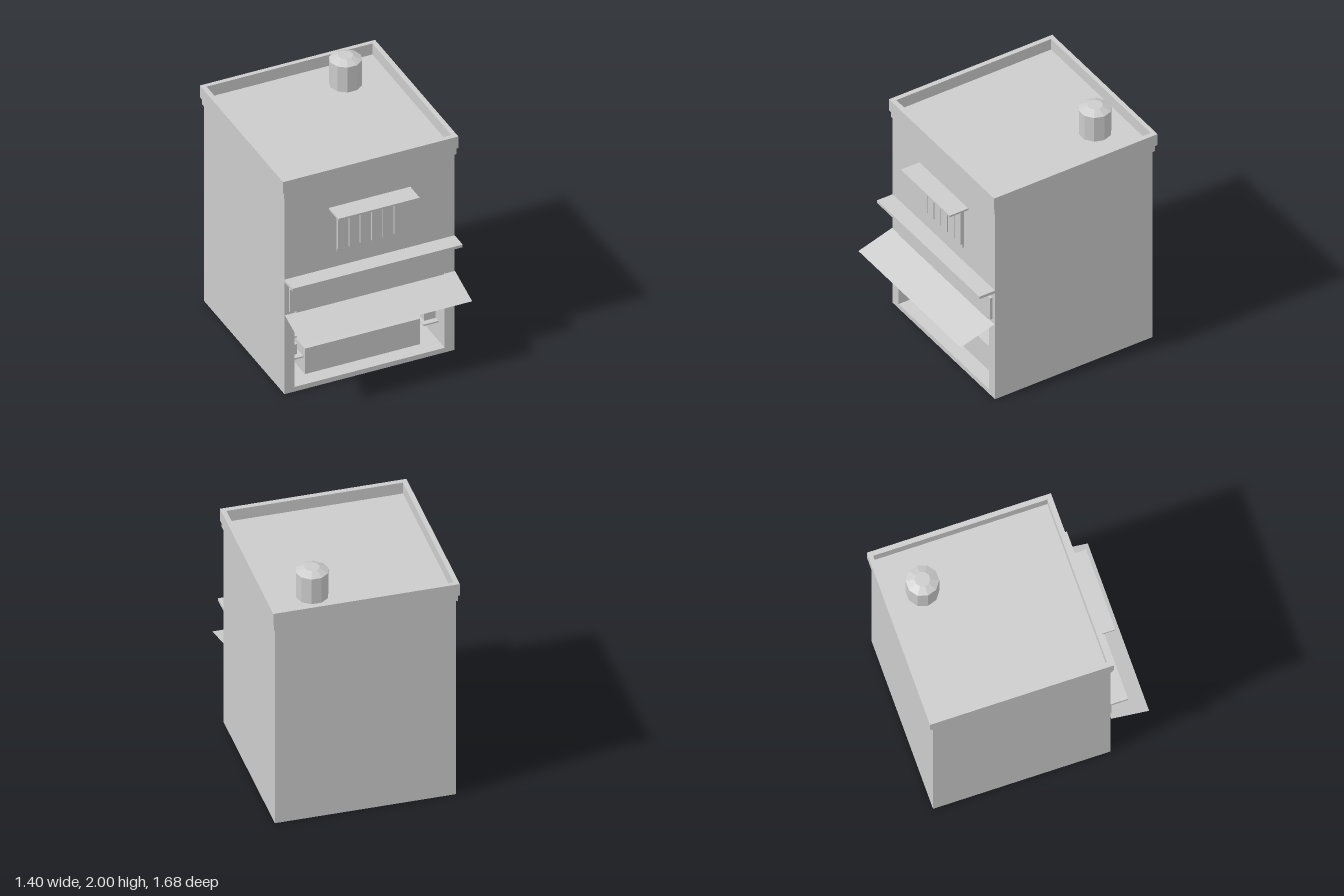
import * as THREE from 'three';

const grey = new THREE.MeshStandardMaterial({ color: 0xcccccc });
grey.name = 'plain grey';
const greySheet = new THREE.MeshStandardMaterial({ color: 0xcccccc, side: THREE.DoubleSide });
greySheet.name = 'plain grey sheet';

const FRONT = 0.545, BACK = -0.81;

export function createModel() {
  const root = new THREE.Group();
  root.name = 'shop';

  // Box given by its limits on each axis
  function box(name, x0, x1, y0, y1, z0, z1, parent = root) {
    const m = new THREE.Mesh(new THREE.BoxGeometry(x1 - x0, y1 - y0, z1 - z0), grey);
    m.position.set((x0 + x1) / 2, (y0 + y1) / 2, (z0 + z1) / 2);
    m.name = name;
    parent.add(m);
    return m;
  }
  function group(name) {
    const g = new THREE.Group();
    g.name = name;
    root.add(g);
    return g;
  }
  // Rectangular ring lying flat
  function ring(name, hx, z0, z1, ix, iz0, iz1, y0, y1) {
    const rect = (P, x, a, b) => new P([[-x, -b], [x, -b], [x, -a], [-x, -a]].map(p => new THREE.Vector2(...p)));
    const s = rect(THREE.Shape, hx, z0, z1);
    s.holes.push(rect(THREE.Path, ix, iz0, iz1));
    const g = new THREE.ExtrudeGeometry(s, { depth: y1 - y0, bevelEnabled: false });
    g.rotateX(-Math.PI / 2);
    const m = new THREE.Mesh(g, grey);
    m.position.y = y0;
    m.name = name;
    root.add(m);
  }

  // Hollow ground floor and solid upper floor
  box('floor', -0.68, 0.68, 0, 0.04, BACK, FRONT);
  for (const s of [-1, 1]) {
    box('sideWall', Math.min(s * 0.6, s * 0.68), Math.max(s * 0.6, s * 0.68), 0.04, 0.69, BACK, FRONT);
  }
  box('backWall', -0.6, 0.6, 0.04, 0.69, BACK, -0.73);
  box('upperFloor', -0.68, 0.68, 0.69, 1.72, BACK, FRONT);

  // Roof slab, cornice and parapet
  box('cornice', -0.69, 0.69, 1.695, 1.755, -0.825, 0.555);
  ring('parapet', 0.7, -0.84, 0.565, 0.662, -0.805, 0.525, 1.75, 1.85);

  // Ten-sided chimney with a sloped cap
  const chimney = new THREE.Mesh(
    new THREE.LatheGeometry([[0.122, 0], [0.122, 0.22], [0.057, 0.25], [0, 0.25]]
      .map(p => new THREE.Vector2(...p)), 10, Math.PI / 2).toNonIndexed(), grey);
  chimney.geometry.computeVertexNormals();
  chimney.position.set(0.325, 1.75, -0.545);
  chimney.name = 'chimney';
  root.add(chimney);

  // Window with upright slats and a small canopy
  const win = group('window');
  box('windowPanel', -0.27, 0.27, 1.12, 1.475, 0.54, 0.558, win);
  for (let i = 0; i < 6; i++) {
    const x = -0.225 + i * 0.09;
    box('windowSlat', x - 0.04, x + 0.04, 1.15, 1.445, 0.555, 0.572, win);
  }
  box('windowCanopy', -0.325, 0.325, 1.495, 1.51, 0.54, 0.705);

  // Ledge, sign board and awning housing
  box('ledge', -0.68, 0.68, 0.967, 0.99, 0.54, 0.68);
  box('signBoard', -0.645, 0.645, 0.71, 0.905, 0.54, 0.566);
  box('awningHousing', -0.59, 0.59, 0.63, 0.71, 0.53, 0.555);

  // Sloping awning sheet
  const dy = 0.09, dz = 0.29;
  const awning = new THREE.Mesh(new THREE.PlaneGeometry(1.36, Math.hypot(dy, dz)), greySheet);
  awning.rotation.x = -Math.atan2(dz, dy);
  awning.position.set(0, 0.64, 0.695);
  awning.name = 'awning';
  root.add(awning);

  // Counter
  box('counter', -0.46, 0.46, 0.04, 0.26, 0.2, 0.425);

  // Shelves along the back and both sides
  const shelves = group('shelves');
  for (const y of [0.21, 0.4]) {
    box('backShelf', -0.6, 0.6, y - 0.012, y, -0.73, -0.55, shelves);
    box('leftShelf', 0.48, 0.6, y - 0.012, y, -0.55, 0.44, shelves);
    box('rightShelf', -0.6, -0.48, y - 0.012, y, -0.55, 0.44, shelves);
  }

  // Boxed goods of slightly varying size
  let seed = 7;
  const rnd = () => (seed = (seed * 16807) % 2147483647) / 2147483647;
  const goods = group('goods');
  for (const y of [0.21, 0.4]) {
    for (let i = 0; i < 10; i++) {
      const x = -0.46 + i * 0.102, w = 0.038 + rnd() * 0.014;
      const h = y > 0.3 ? 0.09 + rnd() * 0.015 : 0.06 + rnd() * 0.08;
      box('goodsBox', x - w, x + w, y, y + h, -0.7, -0.58, goods);
      if (y > 0.3) box('stackedBox', x - 0.068, x - 0.004, y + 0.09, 0.585, -0.72, -0.6, goods);
    }
    for (const s of [-1, 1]) {
      for (let i = 0; i < 8; i++) {
        const z = -0.45 + i * 0.115, h = 0.075 + rnd() * 0.02;
        box('sideGoodsBox', s * 0.552 - 0.045, s * 0.552 + 0.045, y, y + h, z - 0.04, z + 0.04, goods);
      }
    }
  }
  return root;
}
